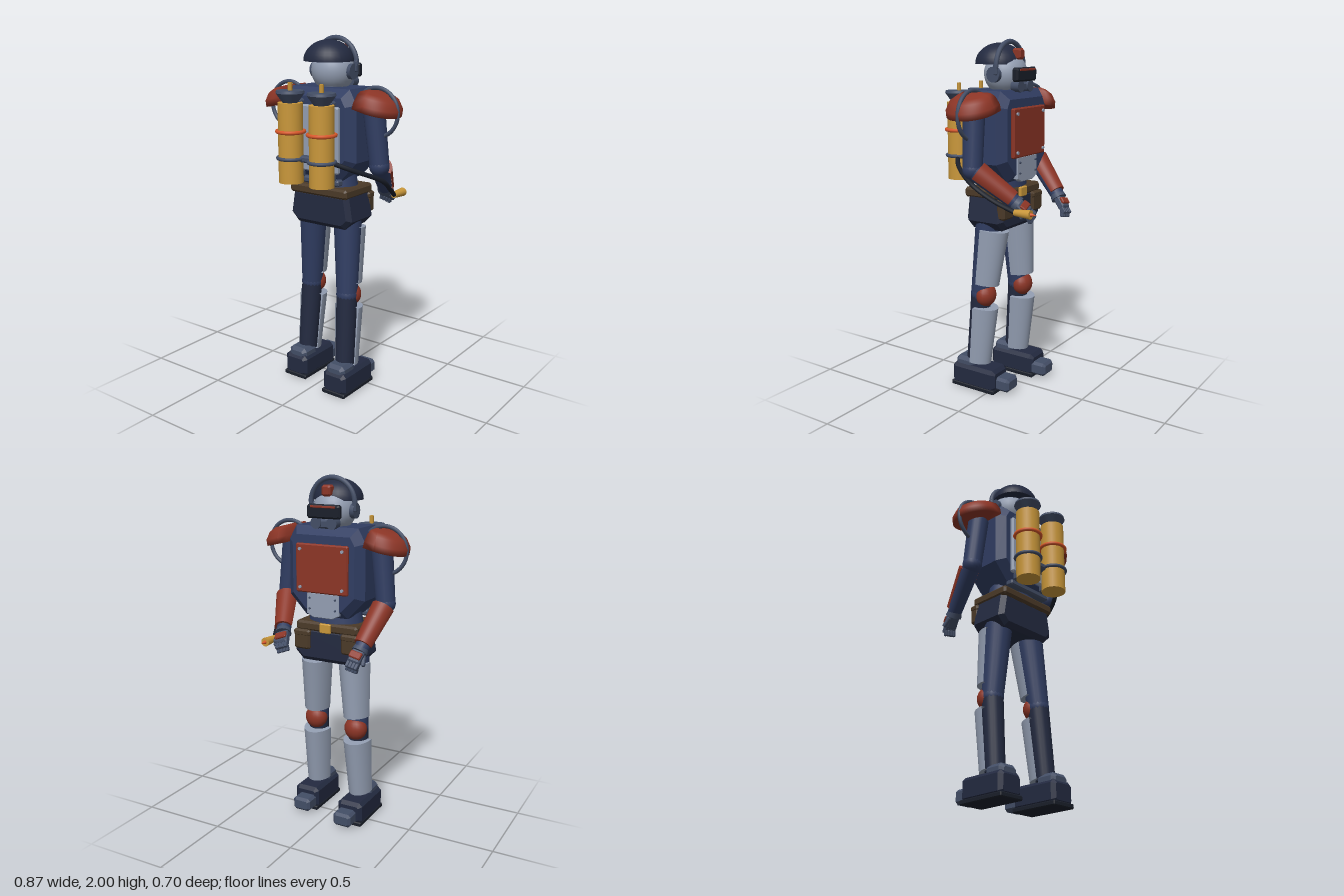
import * as THREE from 'three';

const mat = (c) => new THREE.MeshStandardMaterial({ color: c, side: THREE.DoubleSide });
const navy = mat(0x303d62), dark = mat(0x232a40), slate = mat(0x434e66), grey = mat(0x939eb2),
  red = mat(0x8c3526), gold = mat(0xc9973a), orange = mat(0xd8582a), brown = mat(0x4b3a28), black = mat(0x1a1f2a);
const V = (x, y, z) => new THREE.Vector3(x, y, z);
const UP = V(0, 1, 0);

function add(parent, name, geo, m, x = 0, y = 0, z = 0) {
  const mesh = new THREE.Mesh(geo, m);
  mesh.name = name;
  mesh.position.set(x, y, z);
  parent.add(mesh);
  return mesh;
}

// Outline in xy extruded along z with a chamfered rim, centred on z = 0
function plate(points, depth, bevel) {
  const s = new THREE.Shape(points.map(([x, y]) => new THREE.Vector2(x, y)));
  const g = new THREE.ExtrudeGeometry(s, {
    depth: depth - 2 * bevel, bevelEnabled: true, bevelSegments: 1,
    bevelSize: bevel, bevelThickness: bevel, bevelOffset: -bevel,
  });
  return g.translate(0, 0, bevel - depth / 2);
}

// Box with chamfered edges
function block(w, h, d, c = 0.01) {
  const x = w / 2, y = h / 2;
  return plate([[-x, c - y], [c - x, -y], [x - c, -y], [x, c - y], [x, y - c], [x - c, y], [c - x, y], [-x, y - c]], d, c);
}

const mirror = (pts) => [...pts, ...pts.map(([x, y]) => [-x, y]).reverse()];
const cyl = (rt, rb, h, n = 20) => new THREE.CylinderGeometry(rt, rb, h, n);

// Tapered limb from a (upper end) to b; half = front shell only
function limb(parent, name, a, b, ra, rb, m, half = false) {
  const dir = a.clone().sub(b), len = dir.length();
  const g = new THREE.CylinderGeometry(ra, rb, len, 18, 1, false, half ? Math.PI / 2 : 0, half ? Math.PI : Math.PI * 2);
  const mid = a.clone().add(b).multiplyScalar(0.5);
  const mesh = add(parent, name, g, m, mid.x, mid.y, mid.z);
  mesh.quaternion.setFromUnitVectors(UP, dir.normalize());
  return mesh;
}

const tube = (pts, r) => new THREE.TubeGeometry(new THREE.CatmullRomCurve3(pts), 40, r, 8);

function buildHead(root) {
  const g = new THREE.Group();
  g.name = 'head';
  root.add(g);
  add(g, 'neck', cyl(0.075, 0.09, 0.08), slate, 0, 1.73, 0.03);
  add(g, 'face', new THREE.SphereGeometry(0.12, 28, 20), grey, 0, 1.815, 0.02);
  const dome = new THREE.SphereGeometry(0.14, 28, 10, 0, Math.PI * 2, 0, Math.PI / 2);
  add(g, 'helmet', dome, dark, 0, 1.866, 0.06).scale.set(1, 0.81, 0.95);
  add(g, 'helmetBase', new THREE.CircleGeometry(0.132, 28).rotateX(Math.PI / 2), dark, 0, 1.866, 0.06);
  add(g, 'headBand', new THREE.TorusGeometry(0.135, 0.014, 8, 28, Math.PI), slate, 0, 1.851, -0.008);
  for (const s of [-1, 1]) {
    add(g, 'earCup', cyl(0.042, 0.042, 0.035).rotateZ(Math.PI / 2), slate, s * 0.118, 1.812, 0.015);
    add(g, 'bandEnd', block(0.02, 0.06, 0.025, 0.004), slate, s * 0.135, 1.84, -0.004);
    add(g, 'filter', cyl(0.032, 0.032, 0.05, 14).rotateX(Math.PI / 2), slate, s * 0.048, 1.75, -0.088);
  }
  add(g, 'goggles', block(0.2, 0.075, 0.04), black, 0, 1.812, -0.102);
  add(g, 'lensStrip', block(0.15, 0.012, 0.008, 0.002), red, 0, 1.838, -0.123);
  add(g, 'mouthpiece', block(0.07, 0.05, 0.05), slate, 0, 1.745, -0.08);
  add(g, 'headLamp', block(0.055, 0.06, 0.055), red, 0, 1.92, -0.062);
}

function buildTorso(root) {
  const body = plate(mirror([[0.13, 1.23], [0.235, 1.34], [0.235, 1.65], [0.19, 1.73]]), 0.295, 0.045);
  add(root, 'torso', body, navy, 0, 0, 0.03);
  add(root, 'waist', cyl(0.15, 0.17, 0.12), navy, 0, 1.21, 0.035).scale.z = 0.72;
  add(root, 'chestPlate', block(0.32, 0.27, 0.025, 0.007), red, 0, 1.505, -0.128);
  const bellyShape = mirror([[0.06, 1.23], [0.1, 1.25], [0.1, 1.37]]);
  add(root, 'bellyPlate', plate(bellyShape, 0.03, 0.004), grey, 0, 0, -0.11);
  for (const s of [-1, 1]) {
    for (const y of [1.40, 1.61]) add(root, 'chestBolt', cyl(0.009, 0.009, 0.012, 8).rotateX(Math.PI / 2), grey, s * 0.13, y, -0.144);
    for (const y of [1.28, 1.34]) add(root, 'bellyBolt', cyl(0.006, 0.006, 0.01, 8).rotateX(Math.PI / 2), slate, s * 0.08, y, -0.127);
  }
  add(root, 'backPlate', block(0.32, 0.36, 0.03, 0.008), grey, 0, 1.46, 0.185);
  // Pelvis, belt and pouches
  add(root, 'pelvis', plate(mirror([[0.16, 0.96], [0.21, 1.01], [0.185, 1.16]]), 0.24, 0.025), dark, 0, 0, 0.035);
  add(root, 'belt', block(0.39, 0.055, 0.26, 0.012), brown, 0, 1.165, 0.04);
  add(root, 'buckle', block(0.07, 0.055, 0.02, 0.005), gold, 0, 1.165, -0.095);
  for (const s of [-1, 1]) {
    add(root, 'pouch', block(0.1, 0.11, 0.055), brown, s * 0.15, 1.085, -0.075);
    add(root, 'pouchFlap', block(0.105, 0.04, 0.06), brown, s * 0.15, 1.125, -0.075);
  }
}

function buildTanks(root) {
  for (const s of [-1, 1]) {
    const g = new THREE.Group();
    g.name = 'tank';
    g.position.set(s * 0.105, 0, 0.264);
    root.add(g);
    add(g, 'cylinder', cyl(0.068, 0.068, 0.435, 28), gold, 0, 1.4375);
    add(g, 'valveCap', cyl(0.078, 0.042, 0.05, 28), slate, 0, 1.68);
    add(g, 'valveRim', cyl(0.074, 0.078, 0.014, 28), slate, 0, 1.712);
    add(g, 'valveStem', cyl(0.013, 0.013, 0.05, 6), gold, 0, 1.737);
    add(g, 'warningRing', new THREE.TorusGeometry(0.074, 0.0105, 8, 28).rotateX(Math.PI / 2), orange, 0, 1.5);
    add(g, 'strapRing', new THREE.TorusGeometry(0.072, 0.01, 8, 28).rotateX(Math.PI / 2), slate, 0, 1.355);
    for (const y of [1.26, 1.645]) add(g, 'clamp', block(0.06, 0.05, 0.06), slate, 0, y, -0.065);
  }
  add(root, 'tankBridge', block(0.12, 0.035, 0.05, 0.008), slate, 0, 1.355, 0.245);
  add(root, 'lowerBracket', block(0.3, 0.035, 0.05, 0.008), slate, 0, 1.225, 0.155);
}

// Shoulder pad: D-shaped dome lofted from shrinking outlines
function padGeometry() {
  const s = new THREE.Shape();
  s.moveTo(-0.07, -0.14);
  s.lineTo(-0.008, -0.14);
  s.absarc(-0.008, 0, 0.14, -Math.PI / 2, Math.PI / 2, false);
  s.lineTo(-0.07, 0.14);
  const outline = s.getPoints(16), n = outline.length, pos = [], idx = [];
  const rings = [[0, 0.01], [0, 1], [0.035, 0.99], [0.075, 0.84], [0.093, 0.64], [0.096, 0.01]];
  for (const [y, k] of rings) for (const p of outline) pos.push(-0.07 + (p.x + 0.07) * k, y, p.y * k);
  for (let r = 0; r < rings.length - 1; r++) for (let i = 0; i < n; i++) {
    const a = r * n + i, b = r * n + (i + 1) % n;
    idx.push(a, a + n, b, b, a + n, b + n);
  }
  const g = new THREE.BufferGeometry();
  g.setAttribute('position', new THREE.Float32BufferAttribute(pos, 3));
  g.setIndex(idx);
  g.computeVertexNormals();
  return g;
}

function buildHand(parent, wrist, quaternion) {
  const h = new THREE.Group();
  h.name = 'hand';
  h.position.copy(wrist);
  h.quaternion.copy(quaternion);
  parent.add(h);
  add(h, 'palm', block(0.074, 0.08, 0.042, 0.008), slate, 0, -0.045, 0);
  add(h, 'knuckleGuard', block(0.07, 0.04, 0.018, 0.005), red, 0, -0.045, -0.024);
  for (let i = 0; i < 4; i++) {
    const x = -0.0275 + i * 0.0183;
    add(h, 'finger', block(0.0175, 0.045, 0.028, 0.003), slate, x, -0.095, 0.002);
    add(h, 'fingerTip', block(0.0165, 0.035, 0.024, 0.003), slate, x, -0.112, 0.016).rotation.x = -0.6;
  }
  return h;
}

function buildArm(root, s) {
  const g = new THREE.Group();
  g.name = s > 0 ? 'leftArm' : 'rightArm';
  root.add(g);
  const shoulder = V(s * 0.28, 1.62, 0.035), elbow = V(s * 0.312, 1.32, 0.025);
  const wrist = s > 0 ? V(0.215, 1.145, -0.19) : V(-0.262, 1.1, -0.175);
  const tip = s > 0 ? V(0.17, 1.06, -0.285) : V(-0.225, 0.98, -0.25);
  limb(g, 'upperArm', shoulder, elbow, 0.06, 0.054, navy);
  add(g, 'elbow', new THREE.SphereGeometry(0.056, 18, 12), navy, elbow.x, elbow.y, elbow.z);
  // Forearm with a front guard
  limb(g, 'forearm', elbow, wrist, 0.052, 0.04, navy);
  const guard = limb(g, 'forearmGuard', elbow.clone().lerp(wrist, 0.1), wrist.clone().lerp(elbow, 0.1), 0.066, 0.052, red, true);
  guard.scale.z = 1.05;
  const cuff = limb(g, 'cuff', wrist.clone().lerp(elbow, 0.12), wrist.clone().lerp(tip, 0.1), 0.036, 0.046, slate);
  const hand = buildHand(g, wrist, cuff.quaternion);
  add(hand, 'thumb', block(0.02, 0.06, 0.022, 0.004), slate, s * 0.042, -0.05, 0.012).rotation.z = s * 0.35;
  const pad = add(g, 'shoulderPad', padGeometry(), red, s * 0.3, 1.618, 0.035);
  pad.rotation.z = -s * 0.24;
  pad.scale.x = s;
  // Looped hose over the shoulder
  const hose = new THREE.TorusGeometry(0.13, 0.0115, 8, 40, 3.95).rotateZ(-1.35);
  add(g, 'shoulderHose', hose, slate, s * 0.296, 1.608, 0.033).scale.x = s;
}

function buildLeg(root, s) {
  const g = new THREE.Group();
  g.name = s > 0 ? 'leftLeg' : 'rightLeg';
  root.add(g);
  const back = s > 0 ? 0.06 : 0;
  const hip = V(s * 0.12, 1.02, 0.047), knee = V(s * 0.148, 0.57, 0.03 + back), ankle = V(s * 0.158, 0.15, 0.065 + back);
  limb(g, 'thigh', hip, knee, 0.08, 0.06, navy);
  add(g, 'kneeJoint', new THREE.SphereGeometry(0.062, 18, 12), navy, knee.x, knee.y, knee.z);
  limb(g, 'shin', knee, ankle, 0.06, 0.054, dark);
  const thighGuard = limb(g, 'thighGuard', hip.clone().lerp(knee, 0.14), hip.clone().lerp(knee, 0.85), 0.092, 0.076, grey, true);
  const shinGuard = limb(g, 'shinGuard', knee.clone().lerp(ankle, 0.17), knee.clone().lerp(ankle, 0.98), 0.083, 0.07, grey, true);
  thighGuard.scale.z = shinGuard.scale.z = 1.35;
  add(g, 'kneePad', new THREE.SphereGeometry(0.068, 18, 14), red, knee.x, 0.565, knee.z - 0.03).scale.z = 0.85;
  // Boot
  add(g, 'ankleCollar', block(0.125, 0.07, 0.125, 0.02), slate, s * 0.16, 0.145, 0.11 + back);
  add(g, 'boot', block(0.157, 0.13, 0.295, 0.02), dark, s * 0.162, 0.075, 0.038 + back);
  add(g, 'sole', block(0.157, 0.026, 0.3, 0.005), black, s * 0.162, 0.013, 0.038 + back);
  add(g, 'toeCap', block(0.112, 0.08, 0.12, 0.015), slate, s * 0.152, 0.058, -0.13 + back);
}

function buildTorch(root) {
  const g = new THREE.Group();
  g.name = 'torch';
  g.position.set(0.26, 1.105, -0.26);
  g.rotation.x = -Math.PI / 2;
  root.add(g);
  add(g, 'torchBody', cyl(0.025, 0.018, 0.1, 16), gold);
  add(g, 'flameTip', new THREE.ConeGeometry(0.011, 0.04, 12), orange, 0, 0.068);
  limb(root, 'torchGrip', V(0.25, 1.105, -0.24), V(0.19, 1.09, -0.25), 0.014, 0.014, slate);
  const path = [V(0.16, 1.35, 0.24), V(0.24, 1.31, 0.17), V(0.325, 1.24, 0.02), V(0.305, 1.165, -0.1), V(0.26, 1.105, -0.215)];
  add(root, 'torchHose', tube(path, 0.013), black);
}

export function createModel() {
  const root = new THREE.Group();
  root.name = 'robot';
  buildHead(root);
  buildTorso(root);
  buildTanks(root);
  for (const s of [-1, 1]) {
    buildArm(root, s);
    buildLeg(root, s);
  }
  buildTorch(root);
  return root;
}
